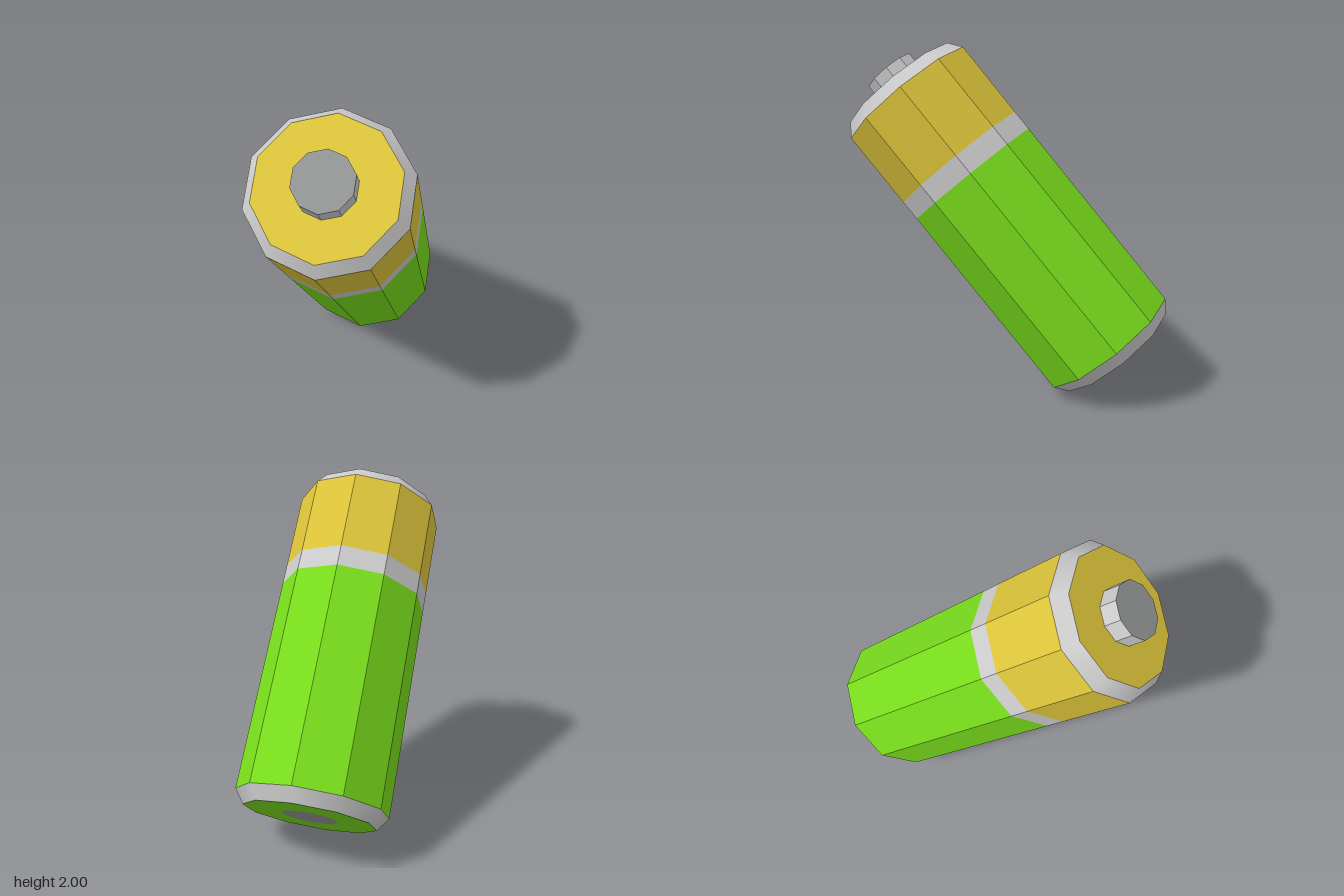
import * as THREE from 'three';

const SIDES = 10;
const R = 0.43;        // can radius
const R_END = 0.373;   // radius inside the bevels
const R_TIP = 0.158;   // terminal radius

export function createModel() {
  const model = new THREE.Group();
  const battery = new THREE.Group();
  battery.name = 'battery';
  model.add(battery);

  const material = (color, flatShading = true) => new THREE.MeshStandardMaterial({ color, flatShading });
  const green = material(0x78dc1c);
  const yellow = material(0xdcc43a);
  const grey = material(0xcccccc);
  const smoothGrey = material(0xcccccc, false);
  const darkGrey = material(0x929594);

  const add = (name, geometry, mat) => {
    const mesh = new THREE.Mesh(geometry, mat);
    mesh.name = name;
    battery.add(mesh);
  };

  // Open ten-sided wall between two heights along the axis
  const wall = (name, y0, y1, r0, r1, mat) => add(name,
    new THREE.CylinderGeometry(r1, r0, y1 - y0, SIDES, 1, true).translate(0, (y0 + y1) / 2, 0), mat);

  // Flat end face, with a hole when inner > 0; up is +1 or -1
  const face = (name, y, inner, outer, up, mat) => {
    const geometry = inner > 0
      ? new THREE.RingGeometry(inner, outer, SIDES, 1, Math.PI / 2)
      : new THREE.CircleGeometry(outer, SIDES, Math.PI / 2);
    add(name, geometry.rotateX(-up * Math.PI / 2).translate(0, y, 0), mat);
  };

  // Can, from bottom to top
  wall('bottomBevel', -0.997, -0.92, R_END, R, smoothGrey);
  wall('lowerBody', -0.92, 0.33, R, R, green);
  wall('band', 0.33, 0.452, R, R, grey);
  wall('upperBody', 0.452, 0.92, R, R, yellow);
  wall('topBevel', 0.92, 0.997, R, R_END, smoothGrey);

  // Ends
  face('topFace', 0.997, R_TIP, R_END, 1, yellow);
  face('bottomFace', -0.997, R_TIP, R_END, -1, green);
  face('bottomContact', -0.997, 0, R_TIP, -1, darkGrey);

  // Raised terminal
  wall('terminalSide', 0.997, 1.1, R_TIP, R_TIP, grey);
  face('terminalTop', 1.1, 0, R_TIP, 1, darkGrey);

  // Lean the whole cell towards the front
  battery.rotation.x = THREE.MathUtils.degToRad(40.3);
  battery.position.y = 1;
  return model;
}
